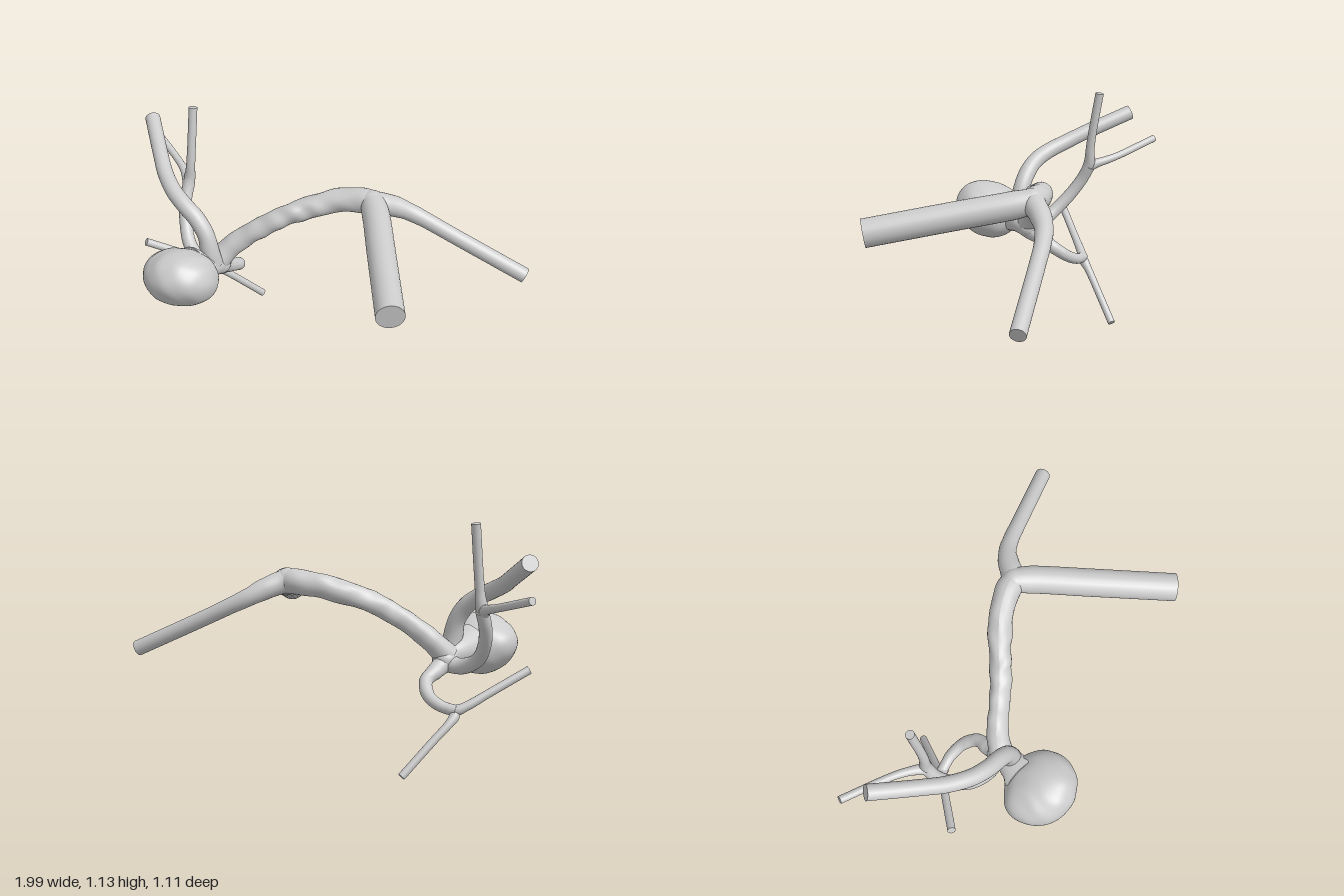
import * as THREE from 'three';
import { mergeGeometries, mergeVertices } from 'three/addons/utils/BufferGeometryUtils.js';

const material = new THREE.MeshStandardMaterial({ color: 0xcccccc, roughness: 0.7 });

// Soft, repeatable unevenness of the vessel walls
const ripple = (p, f) =>
  Math.sin(p.x * f + 1.3 * Math.sin(p.z * f)) * Math.sin(p.y * f * 1.2 + 0.7) * Math.cos(p.z * f * 0.9 + p.x * 7);

// Capped tube through [x, y, z, radius] stations; bump roughens the wall
function vessel(name, stations, { bump = 0, segments = 48, sides = 24 } = {}) {
  const points = stations.map(([x, y, z]) => new THREE.Vector3(x, y, z));
  const curve = new THREE.CatmullRomCurve3(points, false, 'centripetal');
  const radiusAt = (u) => {
    const s = curve.getUtoTmapping(u) * (stations.length - 1);
    const i = Math.min(Math.floor(s), stations.length - 2);
    return THREE.MathUtils.lerp(stations[i][3], stations[i + 1][3], THREE.MathUtils.smoothstep(s - i, 0, 1));
  };
  const tube = new THREE.TubeGeometry(curve, segments, 1, sides, false);
  const pos = tube.attributes.position;
  const v = new THREE.Vector3();
  for (let i = 0; i <= segments; i++) {
    const u = i / segments;
    const centre = curve.getPointAt(u);
    for (let j = 0; j <= sides; j++) {
      const k = i * (sides + 1) + j;
      v.fromBufferAttribute(pos, k).sub(centre).multiplyScalar(radiusAt(u)).add(centre);
      const fade = Math.sin(Math.PI * u);
      const swell = 1 + bump * fade * ripple(v, 38);
      v.sub(centre).multiplyScalar(swell).add(centre);
      pos.setXYZ(k, v.x, v.y, v.z);
    }
  }
  if (bump) tube.computeVertexNormals();
  // Flat discs over both ends
  const caps = [0, 1].map((u) => {
    const direction = curve.getTangentAt(u).multiplyScalar(u ? 1 : -1);
    const turn = new THREE.Quaternion().setFromUnitVectors(new THREE.Vector3(0, 0, 1), direction);
    const centre = curve.getPointAt(u);
    return new THREE.CircleGeometry(radiusAt(u), sides).applyQuaternion(turn).translate(centre.x, centre.y, centre.z);
  });
  const mesh = new THREE.Mesh(mergeGeometries([tube, ...caps]), material);
  mesh.name = name;
  return mesh;
}

// Rounded swelling where vessels meet
function junction(name, [x, y, z, r], scale = [1, 1, 1]) {
  const mesh = new THREE.Mesh(new THREE.SphereGeometry(r, 28, 20), material);
  mesh.position.set(x, y, z);
  mesh.scale.set(...scale);
  mesh.name = name;
  return mesh;
}

// Lumpy balloon: an ellipsoid with broad dents and swellings
function sac() {
  let geometry = new THREE.SphereGeometry(1, 64, 44);
  geometry.deleteAttribute('uv');
  geometry.deleteAttribute('normal');
  geometry = mergeVertices(geometry, 1e-4);
  const lumps = [
    [-0.8, 0.2, -0.6, 0.12, 0.12], // back corner
    [0.1, 0.7, 0.65, 0.07, 0.3], // upper front
    [0, -0.85, -0.45, 0.07, 0.4], // underside
    [0.2, -0.6, 0.75, -0.05, 0.2], // lower front dent
    [0.1, 0.9, -0.2, -0.04, 0.15], // top dent
  ].map(([x, y, z, h, w]) => ({ dir: new THREE.Vector3(x, y, z).normalize(), h, w }));
  const pos = geometry.attributes.position;
  const v = new THREE.Vector3();
  for (let i = 0; i < pos.count; i++) {
    v.fromBufferAttribute(pos, i);
    let r = 1 + 0.02 * ripple(v, 4.5);
    for (const { dir, h, w } of lumps) r += h * Math.exp((v.dot(dir) - 1) / w);
    v.multiplyScalar(r);
    pos.setXYZ(i, v.x * 0.178, v.y * 0.137 + v.z * 0.012, v.z * 0.162);
  }
  geometry.computeVertexNormals();
  const mesh = new THREE.Mesh(geometry, material);
  mesh.position.set(-0.56, 0.518, 0.24);
  mesh.name = 'sac';
  return mesh;
}

export function createModel() {
  const group = new THREE.Group();
  group.name = 'branchingVessel';

  // Large inlet and the arching trunk
  group.add(
    vessel('inlet', [[0.52, 0.705, 0.525, 0.066], [0.38, 0.771, 0.145, 0.066], [0.29, 0.812, -0.1, 0.065],
      [0.25, 0.828, -0.185, 0.058]]),
    vessel('trunk', [[0.27, 0.825, -0.175, 0.056], [0.2, 0.825, -0.19, 0.06], [0.1, 0.812, -0.185, 0.056],
      [0, 0.785, -0.16, 0.056], [-0.14, 0.735, -0.107, 0.05], [-0.22, 0.69, -0.08, 0.05], [-0.3, 0.64, -0.06, 0.048],
      [-0.4, 0.56, -0.03, 0.052], [-0.47, 0.48, 0.015, 0.058]], { bump: 0.12, segments: 96 }),
    vessel('sideOutlet', [[0.2, 0.83, -0.18, 0.045], [0.27, 0.82, -0.195, 0.054], [0.34, 0.79, -0.24, 0.05],
      [0.41, 0.752, -0.272, 0.042], [0.5, 0.708, -0.285, 0.038], [0.6, 0.66, -0.288, 0.037],
      [0.98, 0.485, -0.295, 0.037]]),
    junction('trunkFork', [0.25, 0.827, -0.18, 0.06]),
  );

  // Sac with its neck
  group.add(
    sac(),
    vessel('sacNeck', [[-0.455, 0.465, -0.01, 0.05], [-0.47, 0.485, 0.04, 0.056], [-0.5, 0.498, 0.085, 0.07],
      [-0.535, 0.51, 0.15, 0.11]]),
    junction('lowerFork', [-0.46, 0.468, 0.0, 0.06], [1, 0.9, 1]),
  );

  // Upper branch, sweeping up and back
  group.add(
    vessel('upperBranch', [[-0.47, 0.5, 0.06, 0.052], [-0.48, 0.57, 0.062, 0.046], [-0.5, 0.65, 0.052, 0.041],
      [-0.55, 0.72, 0.035, 0.041], [-0.62, 0.77, 0.008, 0.04], [-0.69, 0.805, -0.04, 0.039],
      [-0.765, 0.845, -0.125, 0.038], [-0.82, 0.885, -0.21, 0.037], [-0.945, 0.975, -0.42, 0.037]], { segments: 72 }),
  );

  // Rear branch, splitting in two
  group.add(
    vessel('rearBranch', [[-0.45, 0.46, 0, 0.045], [-0.54, 0.445, -0.02, 0.038], [-0.63, 0.485, -0.07, 0.033],
      [-0.685, 0.57, -0.15, 0.031], [-0.705, 0.66, -0.215, 0.03], [-0.7, 0.74, -0.258, 0.03]]),
    vessel('rearUprightTwig', [[-0.705, 0.7, -0.235, 0.026], [-0.697, 0.76, -0.258, 0.028], [-0.69, 0.83, -0.262, 0.022],
      [-0.685, 0.93, -0.275, 0.021], [-0.68, 1.125, -0.307, 0.021]]),
    vessel('rearSideTwig', [[-0.702, 0.71, -0.24, 0.026], [-0.715, 0.742, -0.27, 0.025], [-0.755, 0.76, -0.33, 0.02],
      [-0.81, 0.777, -0.39, 0.018], [-0.985, 0.833, -0.543, 0.018]]),
  );

  // Lower branch, splitting in two
  group.add(
    vessel('lowerBranch', [[-0.46, 0.46, 0, 0.05], [-0.435, 0.425, -0.065, 0.039], [-0.41, 0.39, -0.134, 0.031],
      [-0.44, 0.337, -0.2, 0.029], [-0.5, 0.305, -0.238, 0.027], [-0.55, 0.292, -0.25, 0.026],
      [-0.59, 0.287, -0.255, 0.025]], { bump: 0.08, segments: 72 }),
    vessel('lowerFrontTwig', [[-0.53, 0.296, -0.247, 0.023], [-0.585, 0.288, -0.252, 0.025], [-0.63, 0.307, -0.233, 0.021],
      [-0.71, 0.357, -0.185, 0.019], [-0.875, 0.46, -0.085, 0.019]]),
    vessel('lowerRearTwig', [[-0.575, 0.295, -0.245, 0.024], [-0.582, 0.265, -0.262, 0.024], [-0.56, 0.226, -0.292, 0.019],
      [-0.51, 0.164, -0.338, 0.018], [-0.395, 0.015, -0.445, 0.018]]),
  );
  return group;
}
